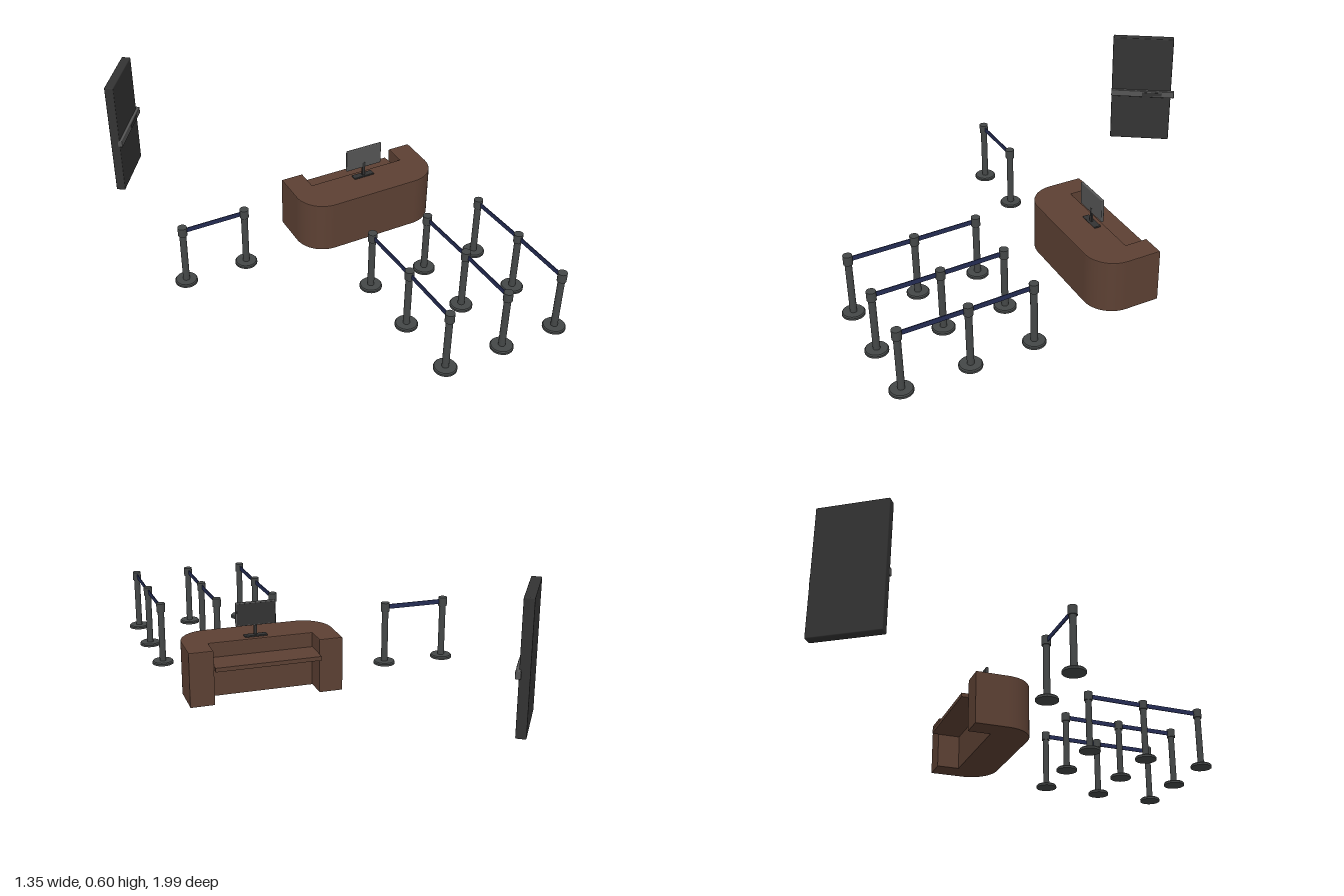
import * as THREE from 'three';
import { RoundedBoxGeometry } from 'three/addons/geometries/RoundedBoxGeometry.js';

const mat = (color) => new THREE.MeshStandardMaterial({ color });
const wood = mat(0x5c4033);
const metal = mat(0x444747);
const dark = mat(0x333333);
const light = mat(0x555555);
const navy = mat(0x252d55);

function add(parent, name, geometry, material, x = 0, y = 0, z = 0) {
  const mesh = new THREE.Mesh(geometry, material);
  mesh.name = name;
  mesh.position.set(x, y, z);
  parent.add(mesh);
  return mesh;
}

const box = (w, h, d) => new THREE.BoxGeometry(w, h, d);
const cylinder = (r, h) => new THREE.CylinderGeometry(r, r, h, 24);

// U-shaped counter with rounded front corners and a work shelf in the rear recess
function createDesk() {
  const desk = new THREE.Group();
  desk.name = 'receptionDesk';
  const bevel = 0.004;
  const [x0, x1, back, front, r] = [-0.06 + bevel, 0.604 - bevel, -0.2 + bevel, 0.08 - bevel, 0.125];
  const [in0, in1, inner] = [0.043 - bevel, 0.5 + bevel, -0.1 + bevel];

  // Plan drawn with shape y = -z, then laid flat
  const plan = new THREE.Shape();
  plan.moveTo(x0, -back);
  plan.lineTo(x0, -(front - r));
  plan.absarc(x0 + r, -(front - r), r, Math.PI, Math.PI * 1.5, false);
  plan.lineTo(x1 - r, -front);
  plan.absarc(x1 - r, -(front - r), r, Math.PI * 1.5, Math.PI * 2, false);
  plan.lineTo(x1, -back);
  plan.lineTo(in1, -back);
  plan.lineTo(in1, -inner);
  plan.lineTo(in0, -inner);
  plan.lineTo(in0, -back);
  plan.closePath();
  const counter = new THREE.ExtrudeGeometry(plan, {
    depth: 0.24 - 2 * bevel, bevelThickness: bevel, bevelSize: bevel, bevelSegments: 2, curveSegments: 12,
  });
  counter.rotateX(-Math.PI / 2);
  add(desk, 'counter', counter, wood, 0, 0.006 + bevel, 0);
  add(desk, 'workShelf', box(0.457, 0.018, 0.132), wood, 0.2715, 0.172, -0.165);
  return desk;
}

// Screen on a slim stand, facing the rear of the desk
function createMonitor() {
  const monitor = new THREE.Group();
  monitor.name = 'monitor';
  add(monitor, 'monitorBase', new RoundedBoxGeometry(0.1, 0.008, 0.03, 2, 0.003), dark, 0, 0.004, 0);
  add(monitor, 'monitorNeck', box(0.014, 0.07, 0.007), dark, 0, 0.04, 0.003);
  add(monitor, 'monitorCase', new RoundedBoxGeometry(0.175, 0.105, 0.012, 2, 0.004), light, 0, 0.102, 0);
  add(monitor, 'monitorScreen', box(0.164, 0.094, 0.002), dark, 0, 0.102, -0.006);
  monitor.position.set(0.285, 0.245, -0.065);
  return monitor;
}

// Tall display panel with a bar across its front
function createPanel() {
  const panel = new THREE.Group();
  panel.name = 'displayPanel';
  add(panel, 'panelBody', new RoundedBoxGeometry(0.3, 0.557, 0.042, 2, 0.005), dark, 0, 0.326, 0);
  add(panel, 'panelBar', new RoundedBoxGeometry(0.318, 0.034, 0.022, 2, 0.004), light, 0.008, 0.308, 0.023);
  add(panel, 'panelBarInset', box(0.1, 0.018, 0.003), dark, 0.055, 0.308, 0.034);
  panel.position.set(-0.577, 0, -0.858);
  panel.rotation.y = 0.974;
  return panel;
}

// Queue post: round foot, column and belt cassette
function createPost(x, y, z) {
  const post = new THREE.Group();
  post.name = 'queuePost';
  const foot = new THREE.LatheGeometry(
    [[0, 0], [0.048, 0], [0.048, 0], [0.048, 0.009], [0.048, 0.009], [0.044, 0.014], [0.044, 0.014], [0, 0.014]]
      .map(([r, h]) => new THREE.Vector2(r, h)), 32);
  add(post, 'postFoot', foot, metal);
  add(post, 'postColumn', cylinder(0.0145, 0.25), metal, 0, 0.135, 0);
  add(post, 'postCap', cylinder(0.0195, 0.04), metal, 0, 0.268, 0);
  post.position.set(x, y, z);
  return post;
}

// A run of posts joined by belts
function createBarrier(points, y) {
  const barrier = new THREE.Group();
  barrier.name = 'queueBarrier';
  points.forEach(([x, z], i) => {
    barrier.add(createPost(x, y, z));
    if (i === 0) return;
    const [px, pz] = points[i - 1];
    const length = Math.hypot(x - px, z - pz) - 0.03;
    const belt = add(barrier, 'belt', box(length, 0.021, 0.004), navy, (x + px) / 2, y + 0.268, (z + pz) / 2);
    belt.rotation.y = -Math.atan2(z - pz, x - px);
  });
  return barrier;
}

export function createModel() {
  const model = new THREE.Group();
  model.name = 'receptionArea';
  model.add(createDesk(), createMonitor(), createPanel());

  // Three parallel queue rows, plus one short barrier beside the desk
  for (const x of [0.082, 0.35, 0.61]) {
    model.add(createBarrier([[x, 0.381], [x + 0.01, 0.661], [x + 0.016, 0.947]], 0.003));
  }
  model.add(createBarrier([[-0.619, 0.011], [-0.338, 0.011]], 0.023));
  return model;
}
